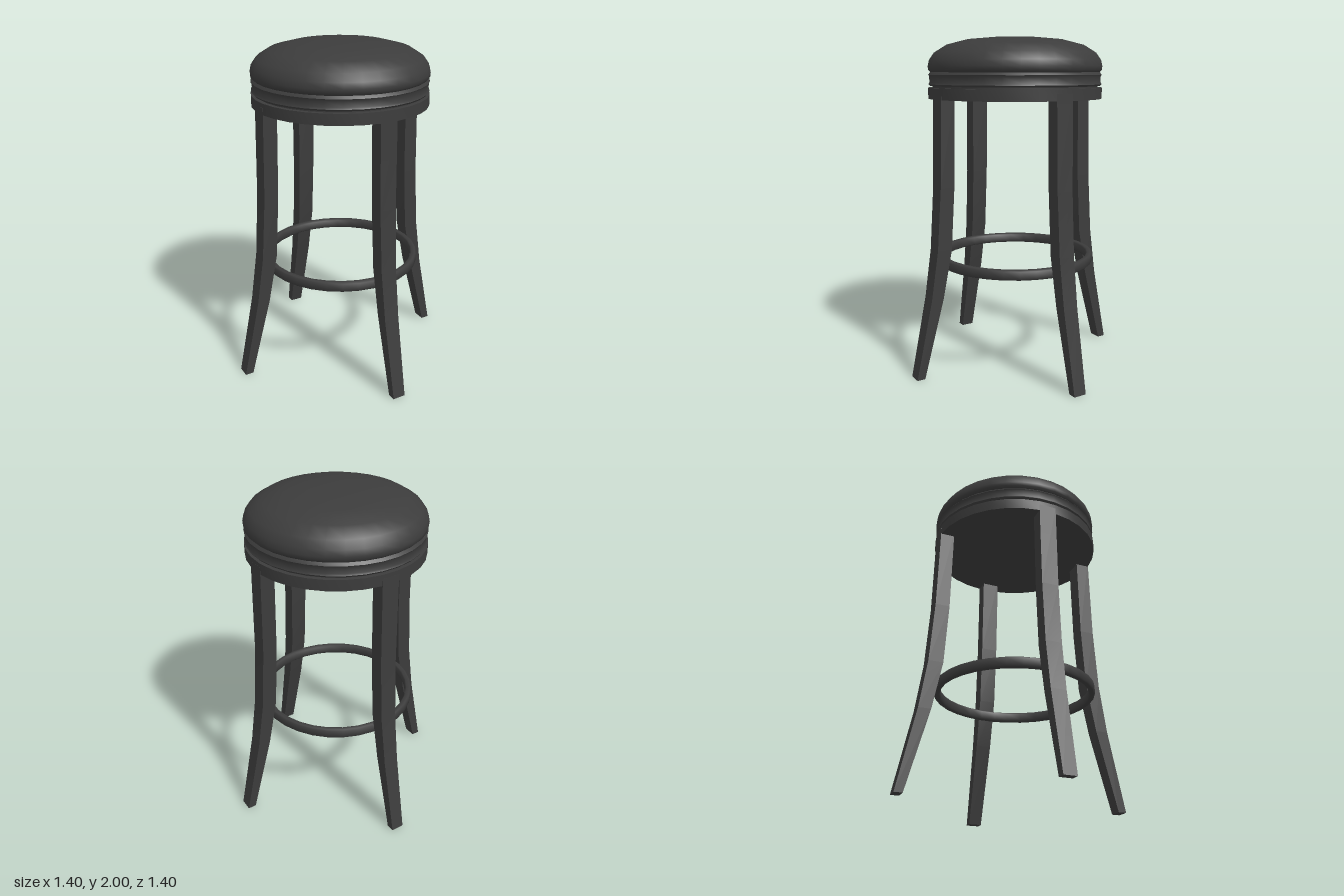
import * as THREE from 'three';
import { toCreasedNormals } from 'three/addons/utils/BufferGeometryUtils.js';

const SEGMENTS = 32;
const material = new THREE.MeshStandardMaterial({ color: 0x3c3c3c, roughness: 0.8 });

// Round part from [radius, height] points listed bottom to top
function turned(name, points, crease = 0.6) {
  const profile = points.map(([r, y]) => new THREE.Vector2(r, y));
  const lathe = new THREE.LatheGeometry(profile, SEGMENTS, Math.PI / SEGMENTS);
  const mesh = new THREE.Mesh(toCreasedNormals(lathe, crease), material);
  mesh.name = name;
  return mesh;
}

// Leg stations from top to foot: height, inner and outer radius, half width
const LEG = [
  [1.68, 0.433, 0.518, 0.053],
  [1.14, 0.443, 0.53, 0.051],
  [0.77, 0.465, 0.555, 0.049],
  [0.48, 0.522, 0.598, 0.046],
  [0, 0.65, 0.7, 0.039],
];

// Box whose rows follow the stations, splaying along +x
function legGeometry() {
  const rows = LEG.length - 1;
  const geometry = new THREE.BoxGeometry(2, 1, 2, 1, rows, 1);
  const p = geometry.attributes.position;
  for (let i = 0; i < p.count; i++) {
    const [y, inner, outer, half] = LEG[Math.round((0.5 - p.getY(i)) * rows)];
    p.setXYZ(i, p.getX(i) > 0 ? outer : inner, y, p.getZ(i) * half);
  }
  geometry.computeVertexNormals();
  return geometry;
}

export function createModel() {
  const stool = new THREE.Group();
  stool.name = 'barStool';

  // Domed cushion with a tucked lower edge
  stool.add(turned('cushion', [
    [0, 1.795], [0.505, 1.795], [0.518, 1.808], [0.52, 1.83], [0.512, 1.865],
    [0.482, 1.908], [0.41, 1.953], [0.29, 1.984], [0.15, 1.997], [0, 2],
  ], 0.8));

  // Swivel band with a thin lip above and a groove below
  stool.add(turned('seatBand', [
    [0, 1.715], [0.51, 1.715], [0.518, 1.725], [0.512, 1.735], [0.512, 1.77],
    [0.518, 1.78], [0.51, 1.79], [0.5, 1.8], [0, 1.8],
  ]));
  stool.add(turned('swivelCore', [[0, 1.69], [0.495, 1.69], [0.495, 1.73], [0, 1.73]]));

  // Apron closed by a flat underside
  stool.add(turned('apron', [[0, 1.64], [0.52, 1.64], [0.52, 1.705], [0, 1.705]]));

  // Four splayed legs
  const geometry = legGeometry();
  ['leftLeg', 'backLeg', 'rightLeg', 'frontLeg'].forEach((name, i) => {
    const leg = new THREE.Mesh(geometry, material);
    leg.name = name;
    leg.rotation.y = i * Math.PI / 2;
    stool.add(leg);
  });

  // Foot ring with softened edges
  stool.add(turned('footRing', [
    [0.445, 0.645], [0.452, 0.638], [0.474, 0.638], [0.481, 0.645], [0.481, 0.69],
    [0.474, 0.697], [0.452, 0.697], [0.445, 0.69], [0.445, 0.645],
  ], 0.9));

  return stool;
}
